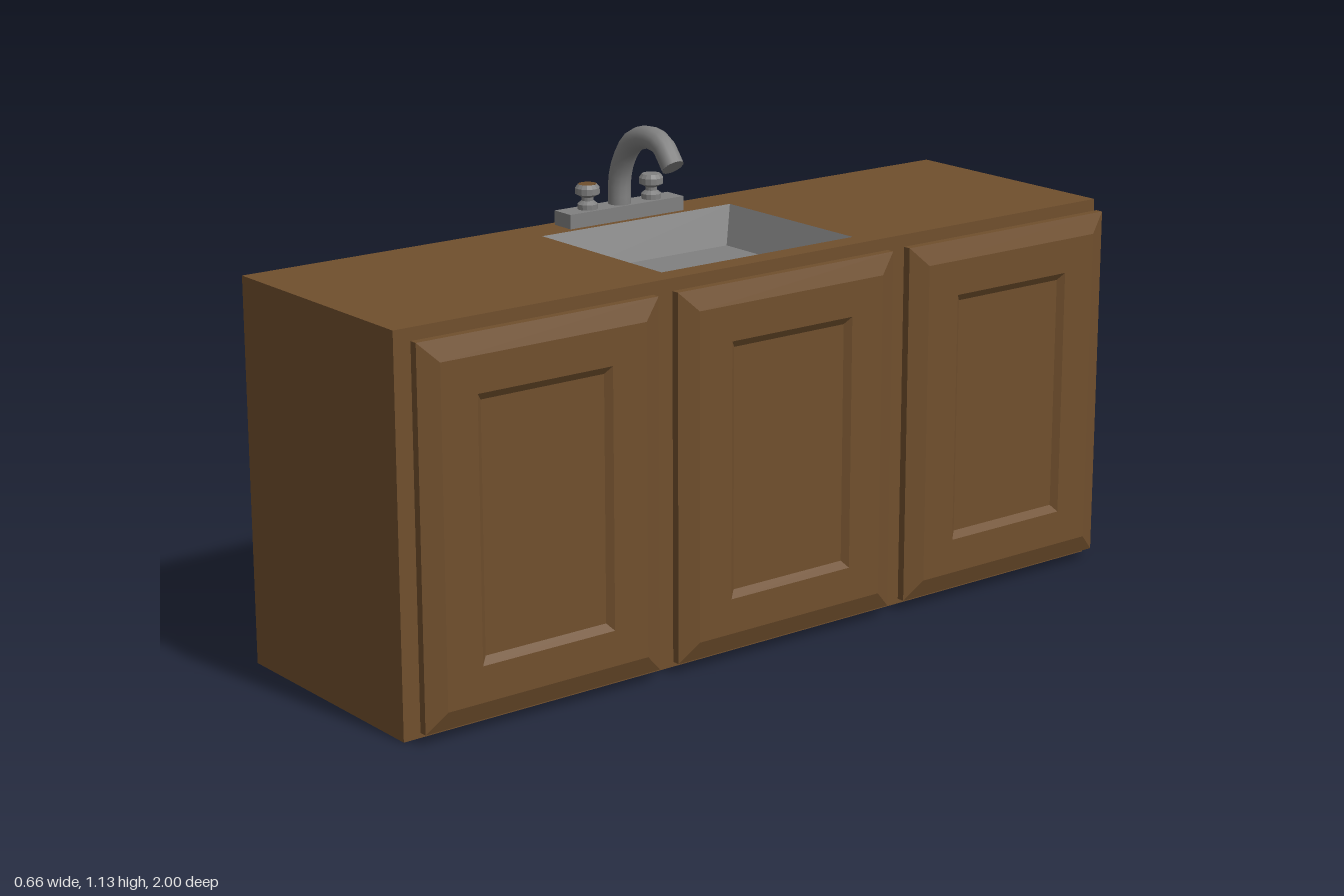
import * as THREE from 'three';

// Nested centred rectangles [halfWidth, halfHeight, z] skinned from the back outwards to the front
function rectLoft(loops) {
  const pos = [];
  const corners = ([w, h, z]) => [[-w, -h, z], [w, -h, z], [w, h, z], [-w, h, z]];
  for (let k = 0; k + 1 < loops.length; k++) {
    const a = corners(loops[k]), b = corners(loops[k + 1]);
    for (let i = 0; i < 4; i++) {
      const j = (i + 1) % 4;
      if (loops[k][0] > 0) pos.push(...a[i], ...a[j], ...b[j]);
      if (loops[k + 1][0] > 0) pos.push(...a[i], ...b[j], ...b[i]);
    }
  }
  const g = new THREE.BufferGeometry();
  g.setAttribute('position', new THREE.Float32BufferAttribute(pos, 3));
  g.computeVertexNormals();
  return g;
}

export function createModel() {
  const wood = new THREE.MeshStandardMaterial({ color: 0x704f2d });
  wood.name = 'brown wood';
  const metal = new THREE.MeshStandardMaterial({ color: 0x808080 });
  metal.name = 'grey metal';

  const root = new THREE.Group();
  root.name = 'sinkCabinet';
  const add = (name, geometry, material, x = 0, y = 0, z = 0, parent = root) => {
    const m = new THREE.Mesh(geometry, material);
    m.name = name;
    m.position.set(x, y, z);
    parent.add(m);
    return m;
  };

  const TOP = 0.893, BODY_X = -0.033, BODY_W = 0.596;
  const SINK_X = -0.0125, SINK_Z = -0.004, SINK_W = 0.2225, SINK_D = 0.275;

  // Cabinet body without its top face
  const body = new THREE.BoxGeometry(BODY_W, TOP, 2);
  const idx = Array.from(body.index.array);
  idx.splice(12, 6);
  body.setIndex(idx);
  body.clearGroups();
  add('cabinetBody', body, wood, BODY_X, TOP / 2, 0);

  // Worktop with the sink opening
  const rect = (shape, x, y, w, h) => {
    shape.moveTo(x - w, y - h);
    shape.lineTo(x + w, y - h);
    shape.lineTo(x + w, y + h);
    shape.lineTo(x - w, y + h);
    shape.closePath();
    return shape;
  };
  const top = rect(new THREE.Shape(), BODY_X, 0, BODY_W / 2, 1);
  top.holes.push(rect(new THREE.Path(), SINK_X, -SINK_Z, SINK_W, SINK_D));
  add('worktop', new THREE.ShapeGeometry(top).rotateX(-Math.PI / 2), wood, 0, TOP, 0);

  // Basin with sloping walls
  const FLOOR = -0.088;
  const basin = rectLoft([
    [SINK_W, SINK_D, 0], [SINK_W - 0.04, SINK_D - 0.042, FLOOR], [0, 0, FLOOR],
  ]).rotateX(-Math.PI / 2);
  add('basin', basin, metal, SINK_X, TOP, SINK_Z);

  // Drain: rim, sunken disc and radial ribs
  const drain = new THREE.Group();
  drain.name = 'drain';
  drain.position.set(-0.01, TOP + FLOOR, -0.003);
  root.add(drain);
  const drainProfile = [[0.047, 0], [0.043, 0.009], [0.036, 0.009], [0.032, 0.004], [0, 0.004]]
    .map(([r, y]) => new THREE.Vector2(r, y));
  const rim = new THREE.LatheGeometry(drainProfile, 20).toNonIndexed();
  rim.computeVertexNormals();
  add('drainRim', rim, metal, 0, 0, 0, drain);
  add('drainHub', new THREE.CylinderGeometry(0.01, 0.012, 0.008, 12), metal, 0, 0.006, 0, drain);
  for (let i = 0; i < 12; i++) {
    const rib = new THREE.BoxGeometry(0.026, 0.005, 0.004).translate(0.022, 0.005, 0);
    add('drainRib', rib.rotateY(i * Math.PI / 6), metal, 0, 0, 0, drain);
  }

  // Three doors, bevelled outside with a recessed panel
  const door = rectLoft([
    [0, 0, 0.293], [0.309, 0.424, 0.293], [0.309, 0.424, 0.312],
    [0.263, 0.379, 0.33], [0.173, 0.297, 0.33], [0.158, 0.28, 0.318], [0, 0, 0.318],
  ]).rotateY(Math.PI / 2);
  for (const z of [0.667, -0.003, -0.671]) add('door', door, wood, 0, 0.449, z);

  // Tap
  const tap = new THREE.Group();
  tap.name = 'tap';
  tap.position.set(-0.281, 0, 0.015);
  root.add(tap);
  add('tapBase', new THREE.BoxGeometry(0.062, 0.034, 0.33), metal, 0, TOP + 0.017, 0, tap);

  const path = new THREE.CatmullRomCurve3([
    [0, 0.92], [0, 0.98], [0.014, 1.028], [0.052, 1.08], [0.11, 1.101], [0.163, 1.091], [0.203, 1.045],
  ].map(([x, y]) => new THREE.Vector3(x, y, 0)));
  add('spout', new THREE.TubeGeometry(path, 14, 0.027, 12), metal, 0, 0, 0, tap);
  const end = add('spoutMouth', new THREE.CircleGeometry(0.027, 12), metal, 0, 0, 0, tap);
  end.position.copy(path.getPoint(1));
  end.quaternion.setFromUnitVectors(new THREE.Vector3(0, 0, 1), path.getTangent(1));

  // Turning handles: flared foot, narrow neck, wide knob
  const knob = [[0.024, 0], [0.024, 0.012], [0.014, 0.02], [0.014, 0.028], [0.029, 0.036],
    [0.029, 0.05], [0.022, 0.059]].map(([r, y]) => new THREE.Vector2(r, y));
  const handle = new THREE.LatheGeometry(knob, 14).toNonIndexed();
  handle.computeVertexNormals();
  for (const s of [-1, 1]) {
    add('handle', handle, metal, 0, TOP + 0.034, s * 0.093, tap);
    const cap = new THREE.CircleGeometry(0.022, 14).rotateX(-Math.PI / 2);
    add('handleCap', cap, s > 0 ? wood : metal, 0, TOP + 0.093, s * 0.093, tap);
  }
  return root;
}
